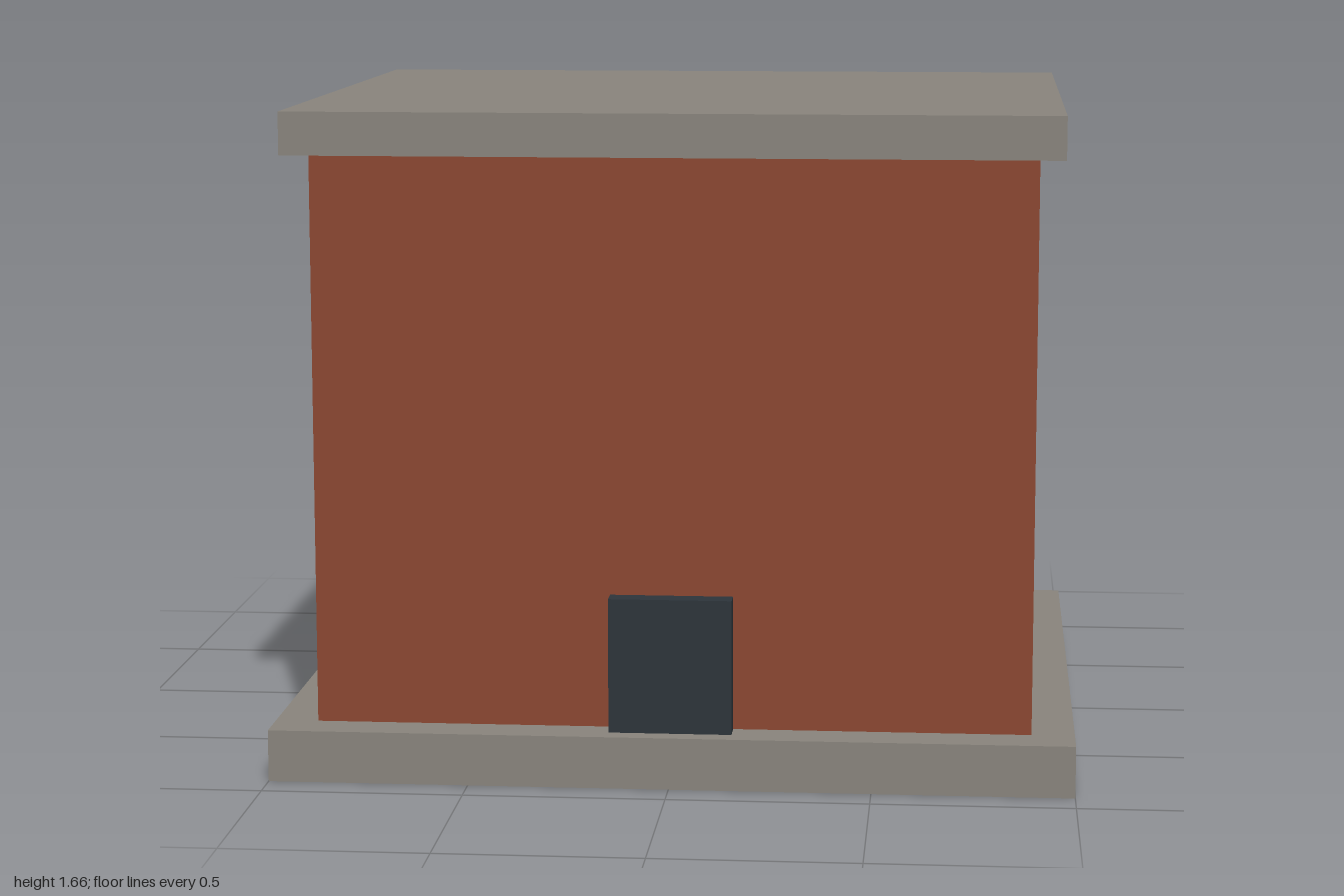
import * as THREE from 'three';

export function createModel() {
  const model = new THREE.Group();
  model.name = 'building';

  const makeMaterial = (name, color) => {
    const material = new THREE.MeshStandardMaterial({ color });
    material.name = name;
    return material;
  };
  const brick = makeMaterial('brick red', 0x8c4832);
  const stone = makeMaterial('grey stone', 0x8a857d);
  const dark = makeMaterial('dark slate', 0x2d353b);

  // Box centred on x, spanning y0..y1 and z0..z1
  const addBlock = (name, material, width, y0, y1, z0, z1) => {
    const mesh = new THREE.Mesh(new THREE.BoxGeometry(width, y1 - y0, z1 - z0), material);
    mesh.name = name;
    mesh.position.set(0, (y0 + y1) / 2, (z0 + z1) / 2);
    model.add(mesh);
  };

  // Plinth, walls and overhanging flat roof
  addBlock('plinth', stone, 2, 0, 0.13, -0.91, 0.91);
  addBlock('walls', brick, 1.786, 0.13, 1.558, -0.804, 0.804);
  addBlock('roofSlab', stone, 1.91, 1.558, 1.665, -0.865, 0.865);

  // Door slab standing just clear of the front wall, sunk into the plinth
  addBlock('door', dark, 0.306, 0.02, 0.468, 0.81, 0.863);

  return model;
}
